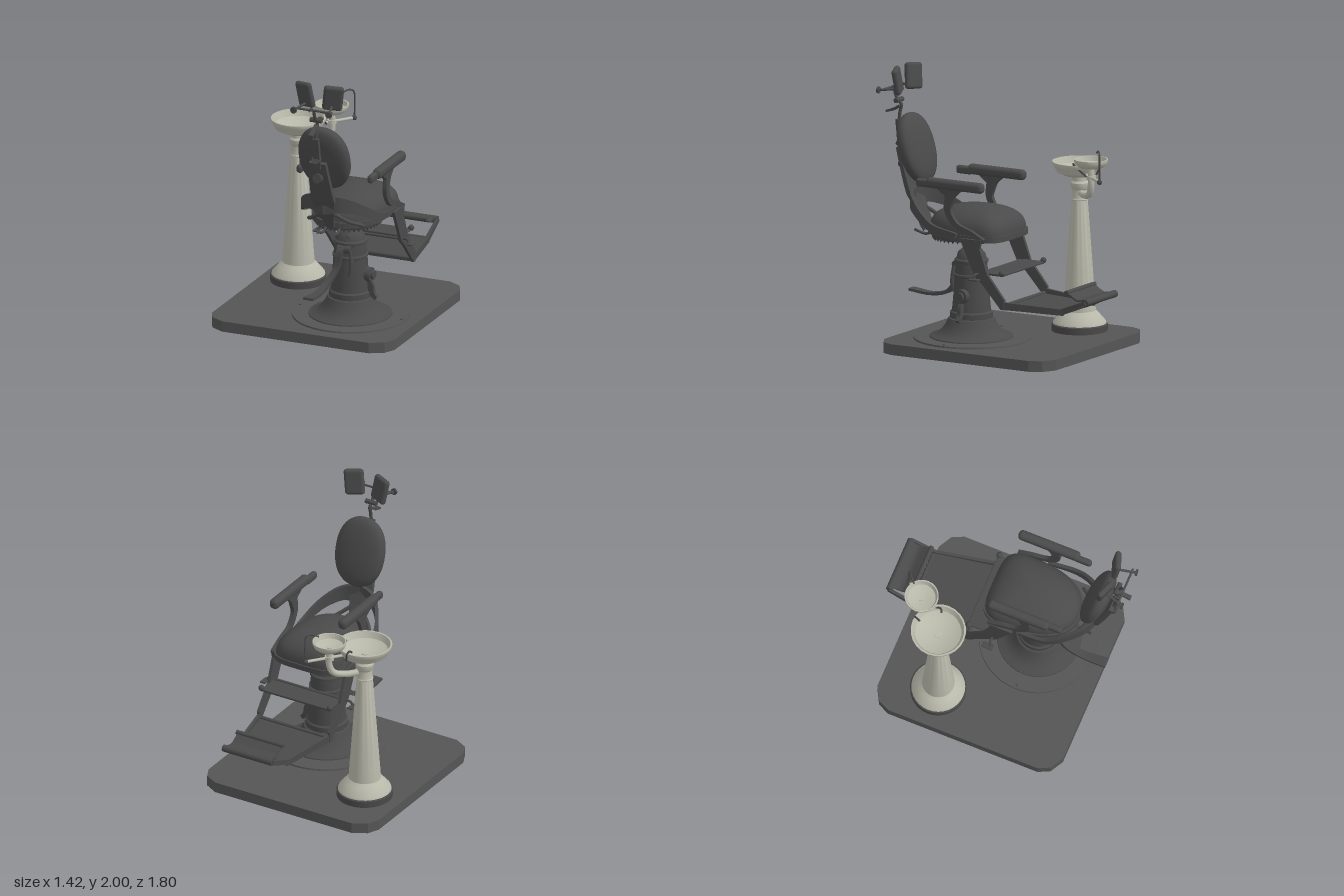
import * as THREE from 'three';
import { mergeVertices, toCreasedNormals } from 'three/addons/utils/BufferGeometryUtils.js';
import { RoundedBoxGeometry } from 'three/addons/geometries/RoundedBoxGeometry.js';

const material = (name, color) => Object.assign(new THREE.MeshStandardMaterial({ color }), { name });
const V = (p) => new THREE.Vector3(p[0], p[1], p[2]);

export function createModel() {
  const root = new THREE.Group();
  const chair = new THREE.Group();
  chair.name = 'chair';
  chair.position.x = 0.205;
  const dark = material('darkGrey', 0x4a4a4a);
  const floor = material('baseGrey', 0x555555);
  const stone = material('paleEnamel', 0xb9b9ab);
  const hollow = material('bowlEnamel', 0xb9b9ab);
  hollow.side = THREE.DoubleSide;

  const add = (name, geo, mat = dark, pos = [0, 0, 0], parent = chair) => {
    const m = new THREE.Mesh(geo, mat);
    m.name = name;
    m.position.set(...pos);
    parent.add(m);
    return m;
  };
  const box = (name, size, pos, r = 0.008) =>
    add(name, new RoundedBoxGeometry(...size, 3, r), dark, pos);
  const tube = (name, pts, r, mat = dark, parent = chair) =>
    add(name, new THREE.TubeGeometry(new THREE.CatmullRomCurve3(pts.map(V)), pts.length * 6, r, 10), mat, [0, 0, 0], parent);
  const rod = (name, a, b, r, mat = dark, parent = chair) => {
    const d = V(b).sub(V(a));
    const m = add(name, new THREE.CylinderGeometry(r, r, d.length(), 16), mat, V(a).add(V(b)).multiplyScalar(0.5).toArray(), parent);
    m.quaternion.setFromUnitVectors(new THREE.Vector3(0, 1, 0), d.normalize());
    return m;
  };
  const ball = (name, pos, r, mat = dark, parent = chair) =>
    add(name, new THREE.SphereGeometry(r, 14, 10), mat, pos, parent);
  const lathe = (name, pts, mat, pos, parent, seg = 32) =>
    add(name, toCreasedNormals(new THREE.LatheGeometry(pts.map((p) => new THREE.Vector2(...p)), seg), 0.6), mat, pos, parent);

  // Rectangular bar swept along points [x, y, z, width, thickness]
  const ribbon = (name, pts, widthDir, n = 18) => {
    const curve = new THREE.CatmullRomCurve3(pts.map(V));
    const rings = [];
    for (let i = 0; i <= n; i++) {
      const u = i / n, k = u * (pts.length - 1), a = Math.min(Math.floor(k), pts.length - 2);
      const size = (j) => THREE.MathUtils.lerp(pts[a][j], pts[a + 1][j], k - a) / 2;
      const P = curve.getPoint(u), T = curve.getTangent(u), W = V(widthDir);
      W.addScaledVector(T, -W.dot(T)).normalize();
      const N = T.clone().cross(W);
      rings.push([[1, 1], [-1, 1], [-1, -1], [1, -1]].map(([p, q]) =>
        P.clone().addScaledVector(W, p * size(3)).addScaledVector(N, q * size(4))));
    }
    const out = [];
    const quad = (a, b, c, d) => out.push(a, b, c, a, c, d);
    for (let i = 0; i < n; i++) for (let j = 0; j < 4; j++) {
      const k = (j + 1) % 4;
      quad(rings[i][j], rings[i][k], rings[i + 1][k], rings[i + 1][j]);
    }
    const s = rings[0], e = rings[n];
    quad(s[3], s[2], s[1], s[0]);
    quad(e[0], e[1], e[2], e[3]);
    return add(name, toCreasedNormals(new THREE.BufferGeometry().setFromPoints(out), 0.6));
  };
  // Flat plate: outline in (z, y), extruded along x
  const sidePlate = (name, pts, x, t) => {
    const g = new THREE.ExtrudeGeometry(new THREE.Shape(pts.map((p) => new THREE.Vector2(...p))), { depth: t, bevelEnabled: false });
    return add(name, g.translate(0, 0, -t / 2).rotateY(-Math.PI / 2), dark, [x, 0, 0]);
  };
  // Horizontal plate: outline in (x, z), extruded up from y
  const flatPlate = (name, pts, y, h, mat = dark, parent = chair) => {
    const g = new THREE.ExtrudeGeometry(new THREE.Shape(pts.map(([x, z]) => new THREE.Vector2(x, -z))), { depth: h, bevelEnabled: false });
    return add(name, g.rotateX(-Math.PI / 2), mat, [0, y, 0], parent);
  };

  // Floor platform with clipped corners
  const corner = [[0.71, 0.575], [0.67, 0.66], [0.57, 0.715]];
  const flip = (sx, sz) => corner.map(([x, z]) => [x * sx, z * sz - 0.015]);
  flatPlate('platform', [...flip(1, 1), ...flip(-1, 1).reverse(), ...flip(-1, -1), ...flip(1, -1).reverse()], 0, 0.078, floor, root);
  add('floorDisc', new THREE.CylinderGeometry(0.42, 0.422, 0.012, 48), floor, [0, 0.084, 0.185]);
  for (const s of [-1, 1]) add('discBolt', new THREE.CylinderGeometry(0.01, 0.01, 0.008, 10), dark, [s * 0.395, 0.093, 0.185]);

  // Pump pedestal
  lathe('pedestal', [[0.3, 0.09], [0.298, 0.098], [0.25, 0.112], [0.215, 0.14], [0.185, 0.18], [0.165, 0.225], [0.152, 0.23], [0.152, 0.27],
    [0.14, 0.28], [0.132, 0.36], [0.122, 0.525], [0.128, 0.53], [0.128, 0.545], [0.118, 0.55], [0.113, 0.63], [0.121, 0.635],
    [0.121, 0.65], [0.108, 0.66], [0.1, 0.69], [0.07, 0.725], [0.045, 0.735], [0.045, 0.82]], dark, [0, 0, 0.195], chair, 40);
  for (const s of [-1, 1]) add('shoulderLug', new THREE.SphereGeometry(0.03, 12, 8), dark, [0.02, 0.685, 0.195 + s * 0.07]);
  rod('valveHub', [0.1, 0.4, 0.19], [0.165, 0.4, 0.19], 0.052);
  rod('valveCap', [0.16, 0.4, 0.19], [0.185, 0.4, 0.19], 0.033);
  ribbon('valvePedal', [[0.1, 0.36, 0.19, 0.02, 0.04], [0.15, 0.33, 0.19, 0.025, 0.05], [0.17, 0.26, 0.19, 0.03, 0.04], [0.2, 0.225, 0.19, 0.03, 0.03]], [0, 0, 1]);
  ribbon('pumpLever', [[0, 0.62, 0.26, 0.05, 0.05], [-0.02, 0.6, 0.32, 0.05, 0.035], [-0.04, 0.47, 0.35, 0.04, 0.035], [-0.075, 0.38, 0.43, 0.045, 0.028],
    [-0.085, 0.345, 0.57, 0.06, 0.02], [-0.085, 0.36, 0.75, 0.075, 0.018]], [1, 0, 0], 28);
  rod('leverPivot', [-0.05, 0.605, 0.3], [0.05, 0.605, 0.3], 0.03);
  tube('pumpLink', [[0.05, 0.6, 0.31], [0.06, 0.5, 0.32], [0.05, 0.41, 0.32]], 0.014);

  // Seat: outline is square at the front edge and round at the rear
  const outline = (a) => {
    const c = Math.cos(a), s = Math.sin(a), p = s < 0 ? 0.5 : 0.88;
    return [0.268 * Math.sign(c) * Math.abs(c) ** p, 0.08 + (s < 0 ? 0.24 : 0.42) * Math.sign(s) * Math.abs(s) ** p];
  };
  const ring = Array.from({ length: 48 }, (_, i) => outline(i / 48 * Math.PI * 2));
  flatPlate('seatFrame', ring.map(([x, z]) => [x * 1.03, (z - 0.1) * 1.04 + 0.1]), 0.835, 0.04);
  let dome = new THREE.SphereGeometry(1, 48, 16, 0, Math.PI * 2, 0, Math.PI / 2);
  const dp = dome.attributes.position;
  for (let i = 0; i < dp.count; i++) {
    const x = dp.getX(i), h = Math.max(0, dp.getY(i)), z = dp.getZ(i), r = Math.hypot(x, z);
    const [ox, oz] = outline(Math.atan2(z, x));
    dp.setXYZ(i, ox * r, 0.87 + 0.19 * h ** 0.8, 0.12 + (oz - 0.12) * r);
  }
  dome.deleteAttribute('uv');
  dome.deleteAttribute('normal');
  dome = mergeVertices(dome, 1e-4);
  dome.computeVertexNormals();
  add('seatCushion', dome);
  add('underSeatDisc', new THREE.CylinderGeometry(0.24, 0.23, 0.03, 40), dark, [0, 0.823, 0.25]);
  for (let i = 0; i < 40; i++) {
    const a = i / 40 * Math.PI * 2;
    add('rackTooth', new THREE.ConeGeometry(0.014, 0.022, 6).rotateX(Math.PI), dark, [Math.cos(a) * 0.225, 0.802, 0.25 + Math.sin(a) * 0.225]);
  }
  box('seatCrossBar', [0.56, 0.03, 0.06], [0, 0.845, -0.04]);
  for (const x of [-0.06, 0.05]) tube('tiltLever', [[x, 0.84, 0.48], [x, 0.805, 0.54], [x * 1.3, 0.83, 0.63]], 0.01);

  // Backrest with spine
  let pad = new THREE.SphereGeometry(1, 40, 28);
  const pp = pad.attributes.position;
  const bulge = (v, p) => Math.sign(v) * Math.abs(v) ** p;
  for (let i = 0; i < pp.count; i++)
    pp.setXYZ(i, 0.195 * bulge(pp.getX(i), 0.9), 0.255 * bulge(pp.getY(i), 0.9), 0.075 * bulge(pp.getZ(i), 0.75));
  pad.deleteAttribute('uv');
  pad.deleteAttribute('normal');
  pad = mergeVertices(pad, 1e-4);
  pad.computeVertexNormals();
  add('backCushion', pad, dark, [0, 1.41, 0.65]).rotation.x = 0.29;
  ribbon('backSpine', [[0, 1.41, 0.772, 0.13, 0.03], [0, 1.25, 0.725, 0.155, 0.03], [0, 1.09, 0.667, 0.18, 0.035], [0, 0.98, 0.61, 0.12, 0.03], [0, 0.85, 0.535, 0.05, 0.03]], [1, 0, 0]);
  ribbon('headrestSlide', [[0, 1.37, 0.775, 0.055, 0.03], [0, 1.6, 0.805, 0.045, 0.025]], [1, 0, 0], 2);
  for (const y of [1.285, 1.435]) rod('spineKnob', [0, y, 0.74 + (y - 1.28) * 0.3], [0, y + 0.008, 0.785 + (y - 1.28) * 0.1], 0.035);

  // Headrest
  tube('headrestPost', [[0, 1.58, 0.8], [0, 1.66, 0.79], [0, 1.71, 0.78], [0, 1.76, 0.82], [0, 1.84, 0.845]], 0.012);
  rod('headrestJoint', [-0.045, 1.74, 0.8], [0.045, 1.74, 0.8], 0.018);
  ribbon('clampLever', [[0, 1.7, 0.79, 0.03, 0.015], [0, 1.67, 0.84, 0.03, 0.02], [0, 1.65, 0.9, 0.035, 0.015]], [1, 0, 0]);
  rod('headrestBar', [-0.15, 1.83, 0.855], [0.15, 1.83, 0.855], 0.008);
  for (const s of [-1, 1]) {
    rod('headPadStem', [s * 0.135, 1.825, 0.89], [s * 0.1, 1.84, 0.75], 0.009);
    rod('headPadKnob', [s * 0.136, 1.825, 0.88], [s * 0.137, 1.825, 0.895], 0.024);
    box('headPad', [0.145, 0.19, 0.045], [s * 0.108, 1.903, 0.745], 0.022).rotation.set(0.17, s * 0.35, -s * 0.16);
  }

  for (const s of [-1, 1]) {
    const x = s * 0.285;
    // Yoke and armrests
    ribbon('backYoke', [[0, 1.06, 0.66, 0.15, 0.025], [s * 0.12, 1.055, 0.62, 0.11, 0.025], [s * 0.23, 0.99, 0.5, 0.075, 0.025],
      [x, 0.91, 0.36, 0.055, 0.025], [x, 0.87, 0.15, 0.035, 0.025]], [0, 1, 0], 24);
    tube('backStrut', [[s * 0.04, 0.98, 0.6], [s * 0.13, 0.91, 0.54], [s * 0.21, 0.86, 0.45]], 0.014);
    ribbon('armPost', [[x, 1.2, 0.2, 0.03, 0.2], [x, 1.15, 0.2, 0.03, 0.075], [x, 1.05, 0.215, 0.03, 0.05],
      [x, 0.95, 0.15, 0.03, 0.042], [x, 0.9, 0.02, 0.03, 0.035], [x, 0.85, -0.08, 0.03, 0.03]], [1, 0, 0], 28);
    box('armPad', [0.07, 0.075, 0.47], [x, 1.235, 0.155], 0.03);
    box('armPadTip', [0.045, 0.06, 0.13], [x - s * 0.01, 1.225, 0.42], 0.02);
    // Footrest sides
    sidePlate('footrestLeg', [[0.11, 0.86], [-0.07, 0.86], [-0.055, 0.8], [-0.12, 0.62], [-0.26, 0.45], [-0.26, 0.375], [-0.23, 0.38], [-0.07, 0.555], [-0.015, 0.6]], s * 0.295, 0.022);
    ribbon('footrestRail', [[s * 0.295, 0.405, -0.23, 0.055, 0.022], [s * 0.21, 0.39, -0.7, 0.045, 0.022]], [0, 1, 0], 2);
    ribbon('footrestEnd', [[s * 0.21, 0.39, -0.68, 0.045, 0.022], [s * 0.205, 0.475, -0.88, 0.03, 0.022]], [0, 1, 0], 2);
    ball('stepBolt', [x, 0.635, -0.23], 0.022);
    tube('footPeg', [[s * 0.28, 0.615, -0.04], [s * 0.34, 0.615, -0.04], [s * 0.355, 0.585, -0.03]], 0.009);
    box('pegPad', [0.045, 0.012, 0.08], [s * 0.365, 0.585, -0.05], 0.005);
  }

  // Footrest boards and roller
  rod('stepRod', [-0.29, 0.615, -0.04], [0.29, 0.615, -0.04], 0.01);
  box('upperStep', [0.57, 0.018, 0.17], [0, 0.62, -0.155], 0.006);
  flatPlate('lowerStep', [[-0.288, -0.23], [0.288, -0.23], [0.205, -0.7], [-0.205, -0.7]], 0.38, 0.016);
  rod('lowerStepBar', [-0.3, 0.4, -0.24], [0.3, 0.4, -0.24], 0.014);
  rod('endBar', [-0.21, 0.39, -0.7], [0.21, 0.39, -0.7], 0.014);
  rod('footRoller', [-0.205, 0.475, -0.875], [0.205, 0.475, -0.875], 0.026);
  ribbon('footPlate', [[0, 0.49, -0.865, 0.37, 0.012], [0, 0.48, -0.8, 0.37, 0.012], [0, 0.51, -0.74, 0.37, 0.012], [0, 0.53, -0.71, 0.37, 0.012]], [1, 0, 0]);
  rod('footPlateRoll', [-0.195, 0.53, -0.712], [0.195, 0.53, -0.712], 0.017);

  // Basin stand
  const stand = new THREE.Group();
  stand.name = 'basinStand';
  stand.position.set(-0.427, 0, -0.32);
  lathe('standPlinth', [[0.2, 0.075], [0.202, 0.125], [0.195, 0.132], [0, 0.132]], dark, [0, 0, 0], stand);
  lathe('standColumn', [[0.192, 0.132], [0.188, 0.145], [0.14, 0.2], [0.125, 0.215], [0.116, 0.225], [0.058, 1.025], [0.062, 1.03], [0.055, 1.04], [0.054, 1.1],
    [0.064, 1.115], [0.066, 1.15], [0.055, 1.165], [0.055, 1.21]], stone, [0, 0, 0], stand);
  lathe('largeBowl', [[0.05, 1.2], [0.11, 1.205], [0.165, 1.23], [0.185, 1.27], [0.197, 1.29], [0.197, 1.305], [0.185, 1.305], [0.165, 1.26], [0.1, 1.23], [0, 1.222]], hollow, [0, 0, 0], stand, 24);
  add('largeDrain', new THREE.CylinderGeometry(0.026, 0.026, 0.006, 16), stone, [0, 1.226, 0], stand);

  // Small bowl, its bracket and water pipe
  const c = [0.172, 0, -0.2];
  lathe('smallBowl', [[0.02, 1.3], [0.085, 1.31], [0.112, 1.33], [0.122, 1.355], [0.122, 1.37], [0.113, 1.37], [0.1, 1.335], [0.05, 1.32], [0, 1.317]], hollow, c, stand, 24);
  add('smallDrain', new THREE.CylinderGeometry(0.02, 0.02, 0.006, 16), stone, [c[0], 1.32, c[2]], stand);
  tube('bowlBracket', [[0.03, 1.08, -0.03], [0.09, 1.08, -0.1], [0.15, 1.11, -0.175], [0.172, 1.17, -0.2], [0.172, 1.31, -0.2]], 0.024, stone, stand);
  rod('bracketCollar', [0.172, 1.22, -0.2], [0.172, 1.25, -0.2], 0.034, stone, stand);
  rod('waterArm', [0.1, 1.235, -0.11], [0.285, 1.235, -0.34], 0.011, stone, stand);
  ball('waterValve', [0.285, 1.235, -0.34], 0.019, dark, stand);
  tube('waterSpout', [[0.285, 1.235, -0.34], [0.288, 1.35, -0.342], [0.28, 1.44, -0.335], [0.25, 1.45, -0.31], [0.215, 1.43, -0.275]], 0.006, dark, stand);
  tube('bowlFiller', [[0.15, 1.23, -0.15], [0.16, 1.3, -0.06], [0.15, 1.315, -0.04], [0.13, 1.3, -0.03]], 0.007, dark, stand);
  tube('bowlFiller', [[0.05, 1.23, -0.17], [0.03, 1.3, -0.19], [0.02, 1.32, -0.175], [0.015, 1.3, -0.15]], 0.007, dark, stand);

  root.add(chair, stand);
  return root;
}
